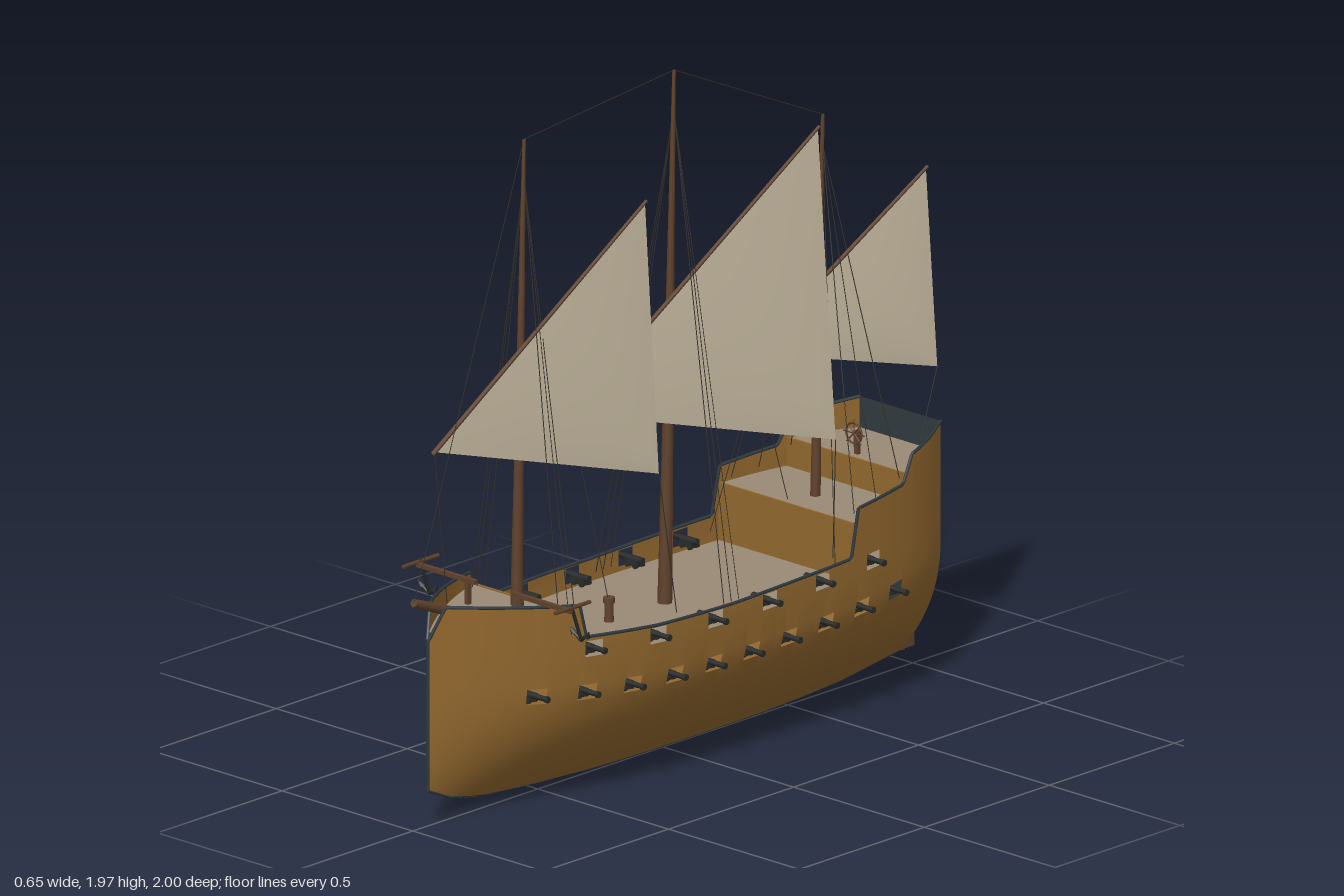
import * as THREE from 'three';

const mat = (name, color, side = THREE.FrontSide) => {
  const m = new THREE.MeshStandardMaterial({ color, side });
  m.name = name;
  return m;
};
const HULL = mat('ochre planking', 0x94692f, THREE.DoubleSide);
const SLATE = mat('dark slate', 0x313b3f, THREE.DoubleSide);
const DECK = mat('deck grey', 0x9a8a76, THREE.DoubleSide);
const SAIL = mat('canvas', 0xc0b49c, THREE.DoubleSide);
const WOOD = mat('dark wood', 0x5f412c);
const IRON = mat('iron', 0x2a2b2b);
const ROPE = mat('rope', 0x38332c);

const V = (x, y, z) => new THREE.Vector3(x, y, z);

// Interpolate a table of [z, value], straight or smooth
function lookup(table, z, smooth) {
  let i = 0;
  while (i < table.length - 2 && z > table[i + 1][0]) i++;
  const [a, b] = [table[i], table[i + 1]];
  const h = b[0] - a[0], t = THREE.MathUtils.clamp((z - a[0]) / h, 0, 1);
  if (!smooth) return a[1] + (b[1] - a[1]) * t;
  const p = table[i - 1] || a, n = table[i + 2] || b;
  const m0 = (b[1] - p[1]) / (b[0] - p[0]) * h, m1 = (n[1] - a[1]) / (n[0] - a[0]) * h;
  const t2 = t * t, t3 = t2 * t;
  return (2 * t3 - 3 * t2 + 1) * a[1] + (t3 - 2 * t2 + t) * m0 + (3 * t2 - 2 * t3) * b[1] + (t3 - t2) * m1;
}

// Hull lines: half breadth, keel, sheer
const BREADTH = [[-0.95, 0.155], [-0.84, 0.207], [-0.7, 0.243], [-0.5, 0.266], [-0.2, 0.275], [0.1, 0.274],
  [0.3, 0.26], [0.5, 0.222], [0.65, 0.172], [0.8, 0.096], [0.94, 0.002]];
const KEEL = [[-0.95, 0.05], [-0.7, 0.018], [-0.4, 0.004], [0, 0.002], [0.3, 0.008], [0.7, 0.033], [0.85, 0.06], [0.94, 0.1]];
const SHEER = [[-0.95, 0.755], [-0.755, 0.725], [-0.71, 0.65], [-0.505, 0.636], [-0.475, 0.496], [0, 0.486],
  [0.3, 0.49], [0.53, 0.502], [0.55, 0.597], [0.9, 0.635], [0.94, 0.54]];
const keel = z => lookup(KEEL, z, true);
const sheer = z => lookup(SHEER, z, false);
function halfWidth(z, y) {
  const k = keel(z), t = THREE.MathUtils.clamp((y - k) / (0.42 - k), 0, 1);
  return lookup(BREADTH, z, true) * (1 - Math.pow(1 - t, 2.2));
}

// Gun ports: two rows
const lowerY = z => 0.323 + 0.055 * z * z, upperY = z => 0.457 + 0.03 * z * z;
const lowerPorts = Array.from({ length: 10 }, (_, i) => 0.67 - i * 0.15);
const upperPorts = Array.from({ length: 6 }, (_, i) => 0.505 - i * 0.215);
const PH = 0.023, PW = 0.028;

// Surface over a grid of points, leaving out cells where skip() is true
function grid(nu, nv, point, skip = () => false, flip = false) {
  const pos = [], idx = [];
  for (let i = 0; i <= nu; i++) for (let j = 0; j <= nv; j++) pos.push(...point(i, j));
  for (let i = 0; i < nu; i++) for (let j = 0; j < nv; j++) {
    if (skip(i, j)) continue;
    const a = i * (nv + 1) + j, b = a + nv + 1;
    idx.push(...(flip ? [a, a + 1, b, b, a + 1, b + 1] : [a, b, a + 1, b, b + 1, a + 1]));
  }
  const g = new THREE.BufferGeometry();
  g.setAttribute('position', new THREE.Float32BufferAttribute(pos, 3));
  g.setIndex(idx);
  g.computeVertexNormals();
  return g;
}

function add(parent, name, geo, material, x = 0, y = 0, z = 0) {
  const m = new THREE.Mesh(geo, material);
  m.name = name;
  m.position.set(x, y, z);
  parent.add(m);
  return m;
}
// Tapered round bar between two points
function bar(parent, name, a, b, r0, r1, material, sides = 10) {
  const m = add(parent, name, new THREE.CylinderGeometry(r1, r0, a.distanceTo(b), sides), material);
  m.position.copy(a).lerp(b, 0.5);
  m.quaternion.setFromUnitVectors(V(0, 1, 0), b.clone().sub(a).normalize());
  return m;
}
const box = (p, name, w, h, d, m, x, y, z) => add(p, name, new THREE.BoxGeometry(w, h, d), m, x, y, z);
const rope = (p, name, a, b) => bar(p, name, a, b, 0.0014, 0.0014, ROPE, 4);

function buildHull(ship) {
  let zs = SHEER.map(s => s[0]);
  for (let z = -0.93; z < 0.93; z += 0.04) zs.push(z);
  for (const p of [...lowerPorts, ...upperPorts]) zs.push(p - PW, p + PW);
  zs = zs.sort((a, b) => a - b).filter((z, i, l) => i === 0 || z - l[i - 1] > 1e-4);
  const N = 9;
  const rowY = (z, j) => {
    const k = keel(z), lo = lowerY(z) - PH;
    if (j <= N) return k + (lo - k) * Math.pow(j / N, 1.4);
    return [lo + 2 * PH, upperY(z) - PH, upperY(z) + PH, sheer(z)][j - N - 1];
  };
  const inPort = (list, z) => list.some(p => Math.abs(p - z) < PW);
  const skip = (i, j) => {
    const z = (zs[i] + zs[i + 1]) / 2;
    return (j === N && inPort(lowerPorts, z)) || (j === N + 2 && inPort(upperPorts, z));
  };
  for (const s of [1, -1]) {
    add(ship, s > 0 ? 'leftHullSide' : 'rightHullSide', grid(zs.length - 1, N + 4, (i, j) => {
      const y = rowY(zs[i], j);
      return [s * halfWidth(zs[i], y), y, zs[i]];
    }, skip, s > 0), HULL);
    // dark cap rail along the sheer
    const path = new THREE.CurvePath();
    const pts = zs.map(z => V(s * halfWidth(z, sheer(z)), sheer(z), z));
    pts.slice(1).forEach((p, i) => path.add(new THREE.LineCurve3(pts[i], p)));
    add(ship, 'capRail', new THREE.TubeGeometry(path, 200, 0.005, 5), SLATE);
  }
  // stern panel and stem/keel strip
  add(ship, 'transom', grid(24, 1, (i, j) => {
    const y = 0.05 + 0.705 * i / 24;
    return [(j ? 1 : -1) * halfWidth(-0.95, y), y, -0.95];
  }, undefined, true), SLATE);
  const strip = KEEL.map(([z, y]) => V(0, y + 0.002, z));
  strip.slice(1).forEach((p, i) => bar(ship, 'keelStrip', strip[i], p, 0.004, 0.004, SLATE, 6));
  bar(ship, 'stemStrip', V(0, 0.1, 0.94), V(0, 0.545, 0.94), 0.005, 0.005, SLATE, 6);

  // decks and bulkheads
  const deck = (name, z0, z1, y) => add(ship, name, grid(30, 1, (i, j) => {
    const z = z0 + (z1 - z0) * i / 30;
    return [(j ? 1 : -1) * Math.max(halfWidth(z, y) - 0.002, 0), y, z];
  }, undefined, true), DECK);
  deck('mainDeck', -0.948, 0.935, 0.42);
  deck('foreDeck', 0.54, 0.925, 0.56);
  deck('quarterDeck', -0.74, -0.5, 0.585);
  deck('poopDeck', -0.948, -0.74, 0.665);
  for (const [name, z, y0, y1] of [['foreBulkhead', 0.542, 0.42, 0.564], ['quarterBulkhead', -0.502, 0.42, 0.589], ['poopBulkhead', -0.742, 0.585, 0.669]])
    box(ship, name, 2 * halfWidth(z, 0.45) - 0.004, y1 - y0, 0.006, HULL, 0, (y0 + y1) / 2, z);

  // rudder
  box(ship, 'rudderPost', 0.012, 0.65, 0.012, WOOD, 0, 0.375, -0.957);
  box(ship, 'rudderBlade', 0.012, 0.17, 0.038, WOOD, 0, 0.138, -0.981);
}

function buildGun(ship, s, y, z) {
  const gun = new THREE.Group();
  gun.name = 'cannon';
  gun.position.set(s * halfWidth(z, y), y, z);
  gun.scale.x = 1;
  gun.rotation.y = s > 0 ? 0 : Math.PI;
  bar(gun, 'barrel', V(-0.065, 0.001, 0), V(0.042, 0.001, 0), 0.01, 0.007, IRON);
  bar(gun, 'muzzle', V(0.034, 0.001, 0), V(0.044, 0.001, 0), 0.0095, 0.0095, IRON);
  box(gun, 'carriage', 0.045, 0.01, 0.026, IRON, -0.035, -0.012, 0);
  for (const dz of [-0.014, 0.014]) {
    box(gun, 'cheek', 0.045, 0.016, 0.005, IRON, -0.035, -0.004, dz);
    for (const dx of [-0.05, -0.02]) bar(gun, 'wheel', V(dx, -0.014, dz - 0.004), V(dx, -0.014, dz + 0.004), 0.008, 0.008, IRON, 8);
  }
  ship.add(gun);
}

// Triangular sail on a slanted yard
function buildSail(ship, name, tack, peak, clew, n = 12) {
  const out = new THREE.Vector3().crossVectors(peak.clone().sub(tack), clew.clone().sub(tack)).normalize();
  if (out.x < 0) out.negate();
  add(ship, name + 'Sail', grid(n, n, (i, j) => {
    const u = i / n, v = j / n;
    const p = tack.clone().lerp(peak, u).lerp(clew, v);
    return p.addScaledVector(out, 0.1 * u * (1 - u) * v * (1 - v)).toArray();
  }), SAIL);
  const d = peak.clone().sub(tack).normalize().multiplyScalar(0.008);
  bar(ship, name + 'Yard', tack.clone().sub(d), peak.clone().add(d), 0.007, 0.005, WOOD, 8);
}

export function createModel() {
  const ship = new THREE.Group();
  ship.name = 'sailingShip';
  buildHull(ship);
  for (const s of [1, -1]) {
    lowerPorts.forEach(z => buildGun(ship, s, lowerY(z), z));
    upperPorts.forEach(z => buildGun(ship, s, upperY(z), z));
  }

  // masts, bowsprit and sails
  const foreTop = V(0, 1.91, 0.555), mainTop = V(0, 1.965, -0.045), mizzenTop = V(0, 1.69, -0.64), spritTip = V(0, 0.664, 0.996);
  bar(ship, 'foreMast', V(0, 0.42, 0.588), foreTop, 0.019, 0.005, WOOD);
  bar(ship, 'mainMast', V(0, 0.42, -0.008), mainTop, 0.021, 0.005, WOOD);
  bar(ship, 'mizzenMast', V(0, 0.56, -0.61), mizzenTop, 0.015, 0.005, WOOD);
  bar(ship, 'bowsprit', V(0, 0.56, 0.74), spritTip, 0.017, 0.012, WOOD);
  const sails = [
    ['fore', V(-0.07, 1.05, 0.84), V(0.19, 1.7, 0.27), V(0.2, 0.9, 0.225), V(-0.06, 0.6, 0.8), V(0.225, 0.49, 0.18)],
    ['main', V(-0.085, 1.02, 0.28), V(0.225, 1.765, -0.385), V(0.25, 0.85, -0.43), V(0, 0.47, 0.215), V(0.235, 0.5, -0.435)],
    ['mizzen', V(-0.06, 1.03, -0.42), V(0.17, 1.515, -0.875), V(0.18, 0.93, -0.91), V(0, 0.6, -0.5), V(0.19, 0.73, -0.83)]];
  for (const [name, tack, peak, clew, tackFoot, sheetFoot] of sails) {
    buildSail(ship, name, tack, peak, clew);
    rope(ship, name + 'TackLine', tack, tackFoot);
    rope(ship, name + 'Sheet', clew, sheetFoot);
  }

  // stays and shrouds
  [spritTip, foreTop, mainTop, mizzenTop].reduce((a, b) => (rope(ship, 'stay', a, b), b));
  const shrouds = [[foreTop, 1.8, [0.53, 0.56, 0.59]], [mainTop, 1.85, [-0.05, -0.02, 0.01]], [mizzenTop, 1.6, [-0.73, -0.62, -0.52, -0.44]]];
  for (const [top, y, feet] of shrouds) for (const z of feet) for (const s of [1, -1])
    rope(ship, 'shroud', V(0, y, top.z), V(s * (halfWidth(z, 0.5) - 0.03), sheer(z) - 0.03, z));

  // catheads with hanging anchors
  for (const s of [1, -1]) {
    box(ship, 'cathead', 0.225, 0.012, 0.014, WOOD, s * 0.182, 0.63, 0.675);
    box(ship, 'catheadPost', 0.014, 0.075, 0.014, WOOD, s * 0.1, 0.595, 0.675);
    bar(ship, 'anchorStock', V(s * 0.29, 0.638, 0.595), V(s * 0.29, 0.638, 0.735), 0.006, 0.006, WOOD, 8);
    bar(ship, 'anchorShank', V(s * 0.29, 0.645, 0.67), V(s * 0.29, 0.535, 0.63), 0.005, 0.005, IRON, 8);
    for (const d of [1, -1]) {
      bar(ship, 'anchorArm', V(s * 0.29, 0.535, 0.63), V(s * 0.29 + d * 0.032, 0.56, 0.635), 0.006, 0.004, IRON, 8);
      bar(ship, 'anchorFluke', V(s * 0.29 + d * 0.024, 0.55, 0.633), V(s * 0.29 + d * 0.036, 0.568, 0.636), 0.01, 0.001, IRON, 6);
    }
  }

  // steering wheel and capstan
  add(ship, 'wheelRim', new THREE.TorusGeometry(0.03, 0.003, 6, 20), WOOD, 0, 0.728, -0.765);
  for (let i = 0; i < 4; i++) {
    const a = i * Math.PI / 4, dx = 0.04 * Math.cos(a), dy = 0.04 * Math.sin(a);
    bar(ship, 'wheelSpoke', V(-dx, 0.728 - dy, -0.765), V(dx, 0.728 + dy, -0.765), 0.002, 0.002, WOOD, 6);
  }
  box(ship, 'wheelStand', 0.014, 0.068, 0.012, WOOD, 0, 0.698, -0.778);
  bar(ship, 'capstan', V(0, 0.42, 0.215), V(0, 0.475, 0.215), 0.014, 0.012, WOOD, 12);
  bar(ship, 'capstanHead', V(0, 0.475, 0.215), V(0, 0.49, 0.215), 0.017, 0.017, WOOD, 12);
  return ship;
}
